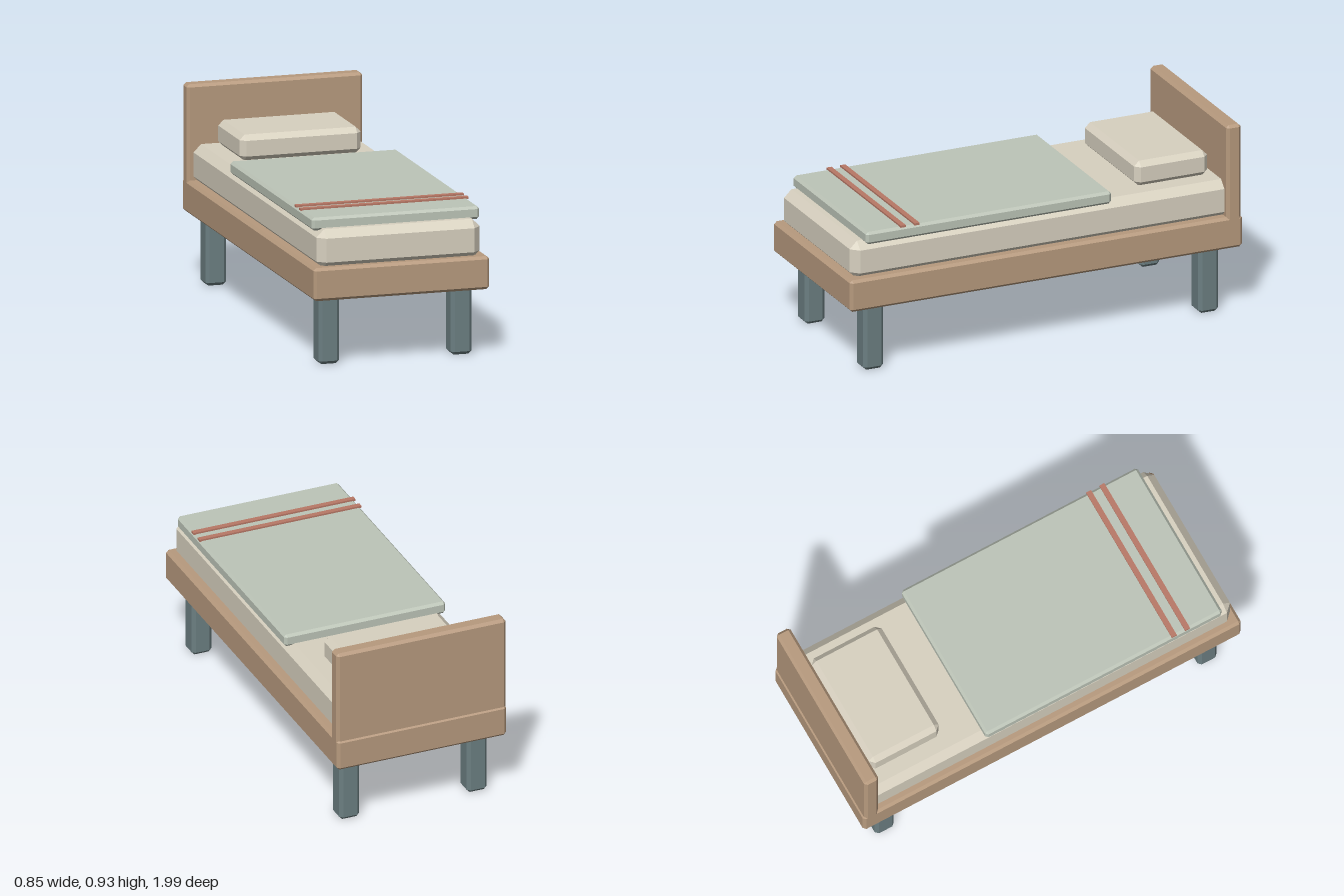
import * as THREE from 'three';
import { ConvexGeometry } from 'three/addons/geometries/ConvexGeometry.js';

const material = (color) => new THREE.MeshStandardMaterial({ color, flatShading: true });

// Box between two corners with every edge and corner cut at 45 degrees
function chamferBox(name, mat, [x0, y0, z0], [x1, y1, z1], c) {
  const hx = (x1 - x0) / 2, hy = (y1 - y0) / 2, hz = (z1 - z0) / 2;
  const points = [];
  for (const sx of [-1, 1]) for (const sy of [-1, 1]) for (const sz of [-1, 1]) {
    points.push(
      new THREE.Vector3(sx * hx, sy * (hy - c), sz * (hz - c)),
      new THREE.Vector3(sx * (hx - c), sy * hy, sz * (hz - c)),
      new THREE.Vector3(sx * (hx - c), sy * (hy - c), sz * hz));
  }
  const mesh = new THREE.Mesh(new ConvexGeometry(points), mat);
  mesh.name = name;
  mesh.position.set((x0 + x1) / 2, (y0 + y1) / 2, (z0 + z1) / 2);
  return mesh;
}

export function createModel() {
  const bed = new THREE.Group();
  bed.name = 'bed';
  const wood = material(0xb79a7e);
  const metal = material(0x6c7f82);
  const linen = material(0xd8d1c0);
  const cloth = material(0xbdc5b8);
  const trim = material(0xb87866);

  // Wooden base and headboard
  bed.add(chamferBox('frame', wood, [-0.425, 0.322, -0.995], [0.425, 0.478, 0.995], 0.013));
  bed.add(chamferBox('headboard', wood, [-0.425, 0.36, -0.988], [0.425, 0.93, -0.915], 0.013));

  // Four legs
  for (const [side, sx] of [['Left', 1], ['Right', -1]]) {
    for (const [end, sz] of [['front', 1], ['back', -1]]) {
      const x = sx * 0.32, z = sz * 0.85;
      bed.add(chamferBox(`${end}${side}Leg`, metal,
        [x - 0.05, 0, z - 0.05], [x + 0.05, 0.345, z + 0.05], 0.015));
    }
  }

  // Bedding
  bed.add(chamferBox('mattress', linen, [-0.395, 0.46, -0.97], [0.395, 0.647, 0.97], 0.037));
  bed.add(chamferBox('pillow', linen, [-0.293, 0.643, -0.885], [0.293, 0.767, -0.515], 0.025));
  bed.add(chamferBox('blanket', cloth, [-0.405, 0.635, -0.34], [0.405, 0.696, 0.905], 0.012));

  // Two raised stripes across the blanket
  for (const z of [0.65, 0.72]) {
    const stripe = new THREE.Mesh(new THREE.BoxGeometry(0.812, 0.01, 0.026), trim);
    stripe.name = 'blanketStripe';
    stripe.position.set(0, 0.699, z);
    bed.add(stripe);
  }
  return bed;
}
